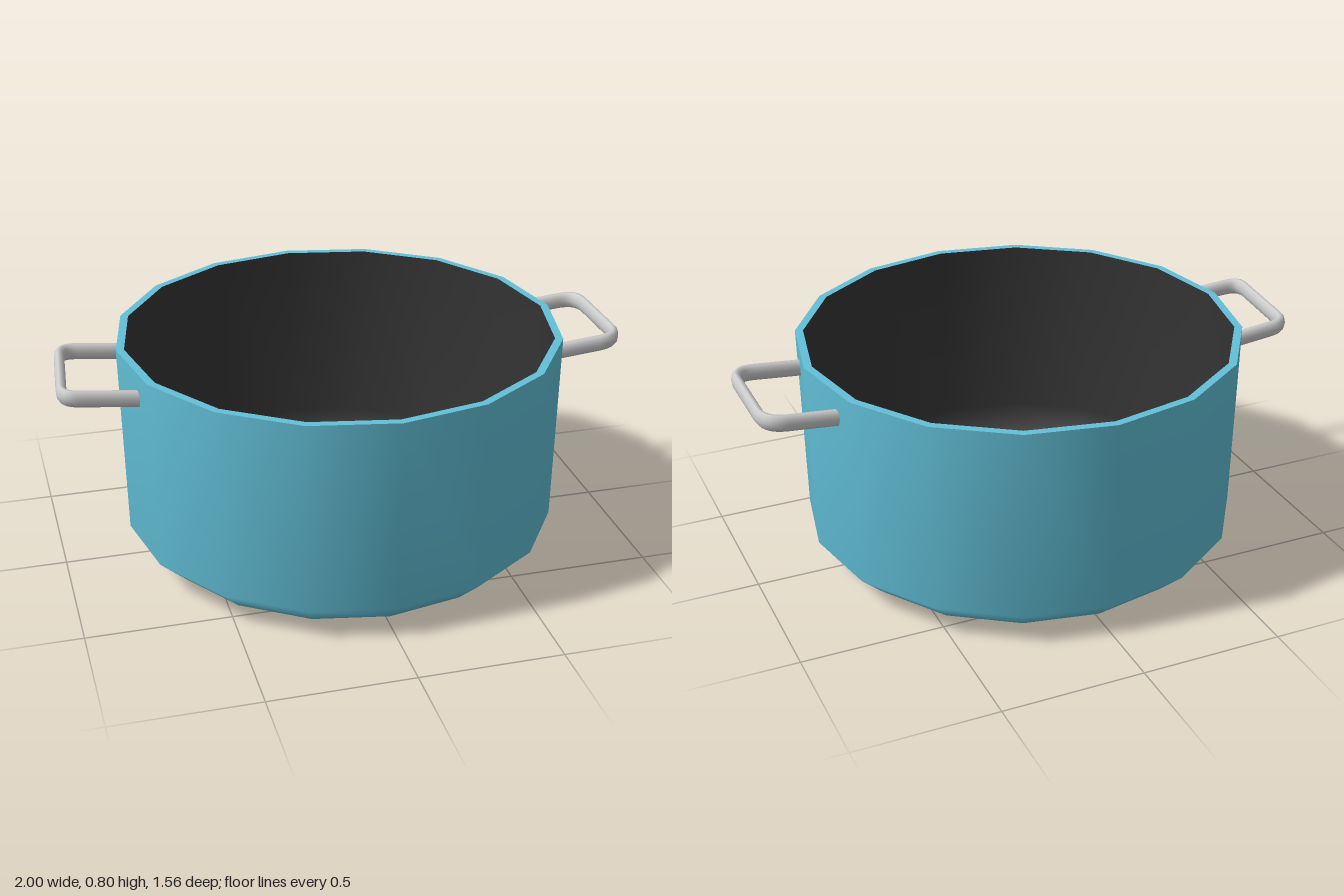
import * as THREE from 'three';

const teal = new THREE.MeshStandardMaterial({ color: 0x62c0d8 });
const dark = new THREE.MeshStandardMaterial({ color: 0x333333 });
const grey = new THREE.MeshStandardMaterial({ color: 0xcccccc });

const SIDES = 16;

// Revolved surface from [radius, height] pairs
function lathe(name, profile, material) {
  const points = profile.map(([r, y]) => new THREE.Vector2(r, y));
  const mesh = new THREE.Mesh(new THREE.LatheGeometry(points, SIDES), material);
  mesh.name = name;
  mesh.position.x = 0.004;
  return mesh;
}

// Bent bar with an oval section: two legs, two rounded corners, one grip.
// plan holds four [x, z] points: wall end, corner, corner, wall end.
function handle(name, plan, bend) {
  const stretch = 1.65; // section height over width
  const heights = [0.705, 0.728, 0.728, 0.705];
  const p = plan.map(([x, z], i) => new THREE.Vector3(x, heights[i] / stretch, z));
  const towards = (a, b) => a.clone().add(b.clone().sub(a).setLength(bend));
  const path = new THREE.CurvePath();
  let last = p[0];
  for (const i of [1, 2]) {
    const start = towards(p[i], p[i - 1]);
    const end = towards(p[i], p[i + 1]);
    path.add(new THREE.LineCurve3(last, start));
    path.add(new THREE.QuadraticBezierCurve3(start, p[i], end));
    last = end;
  }
  path.add(new THREE.LineCurve3(last, p[3]));
  const geometry = new THREE.TubeGeometry(path, 48, 0.018, 10);
  geometry.scale(1, stretch, 1);
  const mesh = new THREE.Mesh(geometry, grey);
  mesh.name = name;
  return mesh;
}

export function createModel() {
  const pot = new THREE.Group();
  pot.name = 'cookingPot';

  // Body: outside wall with sloped foot, flat rim, dark lining
  pot.add(
    lathe('outerWall', [[0, 0], [0.57, 0.003], [0.675, 0.027], [0.768, 0.115], [0.78, 0.8]], teal),
    lathe('rim', [[0.78, 0.8], [0.752, 0.8]], teal),
    lathe('lining', [[0.752, 0.8], [0.74, 0.125], [0.66, 0.052], [0.56, 0.03], [0, 0.027]], dark)
  );

  // Side handles, the right one bent slightly askew
  pot.add(
    handle('leftHandle', [[0.73, 0.197], [0.982, 0.197], [0.982, -0.207], [0.73, -0.207]], 0.075),
    handle('rightHandle', [[-0.73, -0.207], [-0.95, -0.207], [-0.985, 0.182], [-0.73, 0.195]], 0.055)
  );
  return pot;
}
